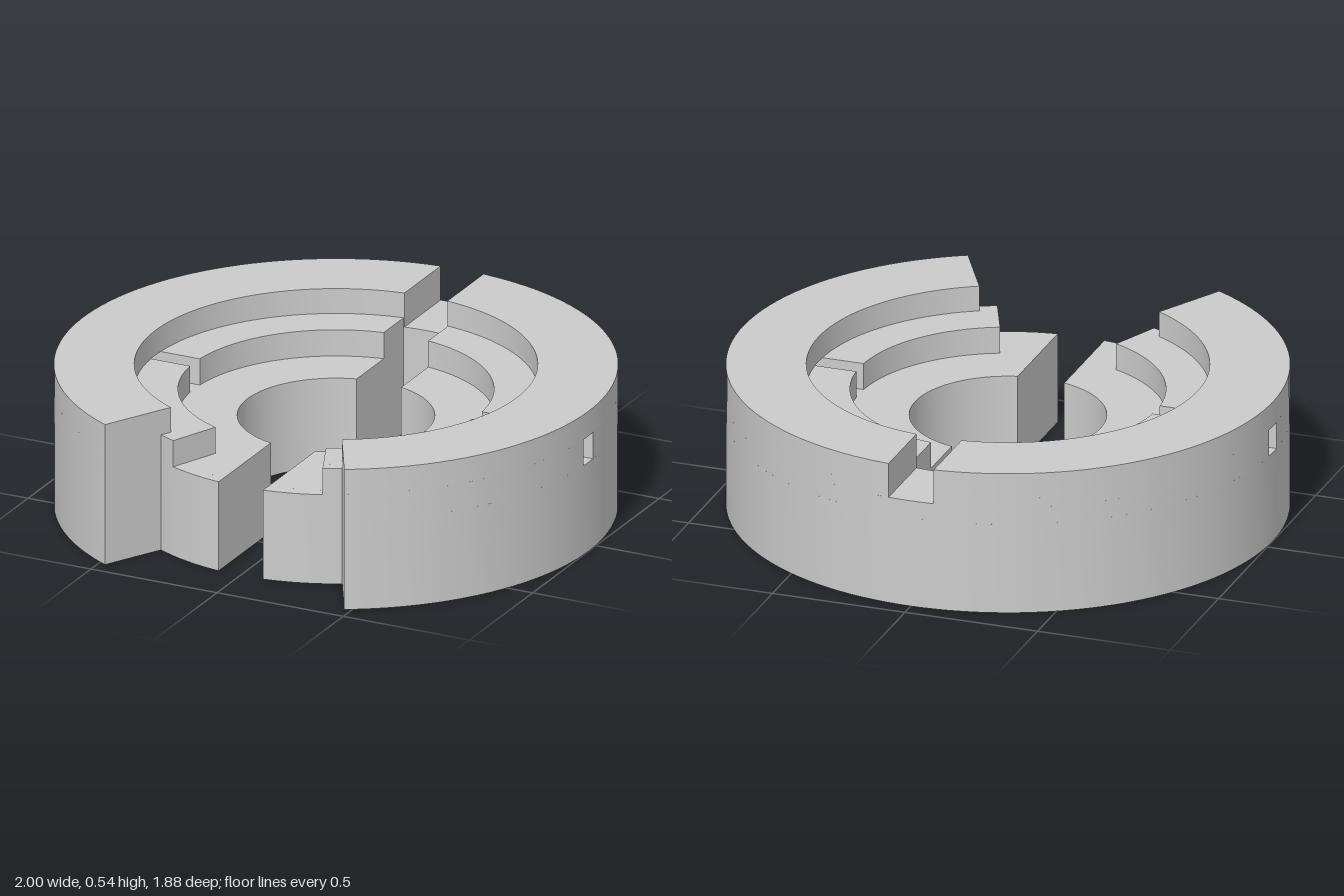
import * as THREE from 'three';
import { toCreasedNormals } from 'three/addons/utils/BufferGeometryUtils.js';

const material = new THREE.MeshStandardMaterial({ color: 0xcccccc });
const PI = Math.PI;

// Radii of the stepped rings
const BORE = 0.35, STEP = 0.56, WALL = 0.715, LIP = 0.757, OUTER = 1;
// Heights of the steps
const LOW = 0.34, NOTCH = 0.405, MID = 0.44, TOP = 0.535;
// Half widths of the straight cuts
const SLOT = 0.088, SIDE = 0.038, BACK = 0.085;
// Angles from the front at which the rings end
const MID_END = THREE.MathUtils.degToRad(23);
const OUTER_END = THREE.MathUtils.degToRad(28.3);

// An end of a sector: a radial line, moved sideways by an offset so that cuts stay parallel
const cut = (angle, offset = 0) => (r) => angle + Math.asin(offset / r);

// Solid ring sector; angles run from the front (+z) towards +x
function sector(name, r0, r1, y0, y1, start, end, side = 1) {
  const points = [];
  const arc = (r, from, to) => {
    const n = Math.max(2, Math.ceil(Math.abs(to - from) / (PI / 64)));
    for (let i = 0; i <= n; i++) {
      const a = from + ((to - from) * i) / n;
      points.push(new THREE.Vector2(side * r * Math.sin(a), -r * Math.cos(a)));
    }
  };
  arc(r1, start(r1), end(r1));
  arc(r0, end(r0), start(r0));
  const extruded = new THREE.ExtrudeGeometry(new THREE.Shape(points), { depth: y1 - y0, bevelEnabled: false });
  extruded.rotateX(-PI / 2).translate(0, y0, 0);
  const mesh = new THREE.Mesh(toCreasedNormals(extruded, 0.4), material);
  mesh.name = name;
  return mesh;
}

export function createModel() {
  const model = new THREE.Group();
  model.name = 'slottedRingHousing';
  const body = new THREE.Group();
  body.name = 'body';
  body.position.z = 0.06;
  model.add(body);

  // Outer wall: continuous below the side windows and behind them up to the notch floor
  body.add(
    sector('outerWallBase', WALL, OUTER, 0, LOW, cut(OUTER_END), cut(2 * PI - OUTER_END)),
    sector('outerWallBack', WALL, OUTER, LOW, NOTCH, cut(PI / 2, SIDE), cut(1.5 * PI, -SIDE))
  );

  for (const side of [1, -1]) {
    const half = new THREE.Group();
    half.name = side > 0 ? 'leftHalf' : 'rightHalf';
    const add = (...args) => half.add(sector(...args, side));

    // Floor around the bore, split by the central slot, with its front lip
    add('innerFloor', BORE, WALL, 0, LOW, cut(0, SLOT), cut(PI, -SLOT));
    add('frontLip', WALL, LIP, 0, LOW, cut(0, SLOT), cut(OUTER_END));

    // Raised middle ring, cut by the side channel
    add('middleRingFront', STEP, WALL, LOW, MID, cut(MID_END), cut(PI / 2, -SIDE));
    add('middleRingBack', STEP, WALL, LOW, MID, cut(PI / 2, SIDE), cut(PI, -SLOT));
    add('middleRingLip', WALL, LIP, LOW, MID, cut(MID_END), cut(OUTER_END));

    // Outer wall beside the window, next to the back notch, and over the top
    add('outerWallFront', WALL, OUTER, LOW, MID, cut(OUTER_END), cut(PI / 2, -SIDE));
    add('notchSide', WALL, OUTER, NOTCH, MID, cut(PI / 2, SIDE), cut(PI, -BACK));
    add('outerRim', WALL, OUTER, MID, TOP, cut(OUTER_END), cut(PI, -BACK));
    body.add(half);
  }
  return model;
}
